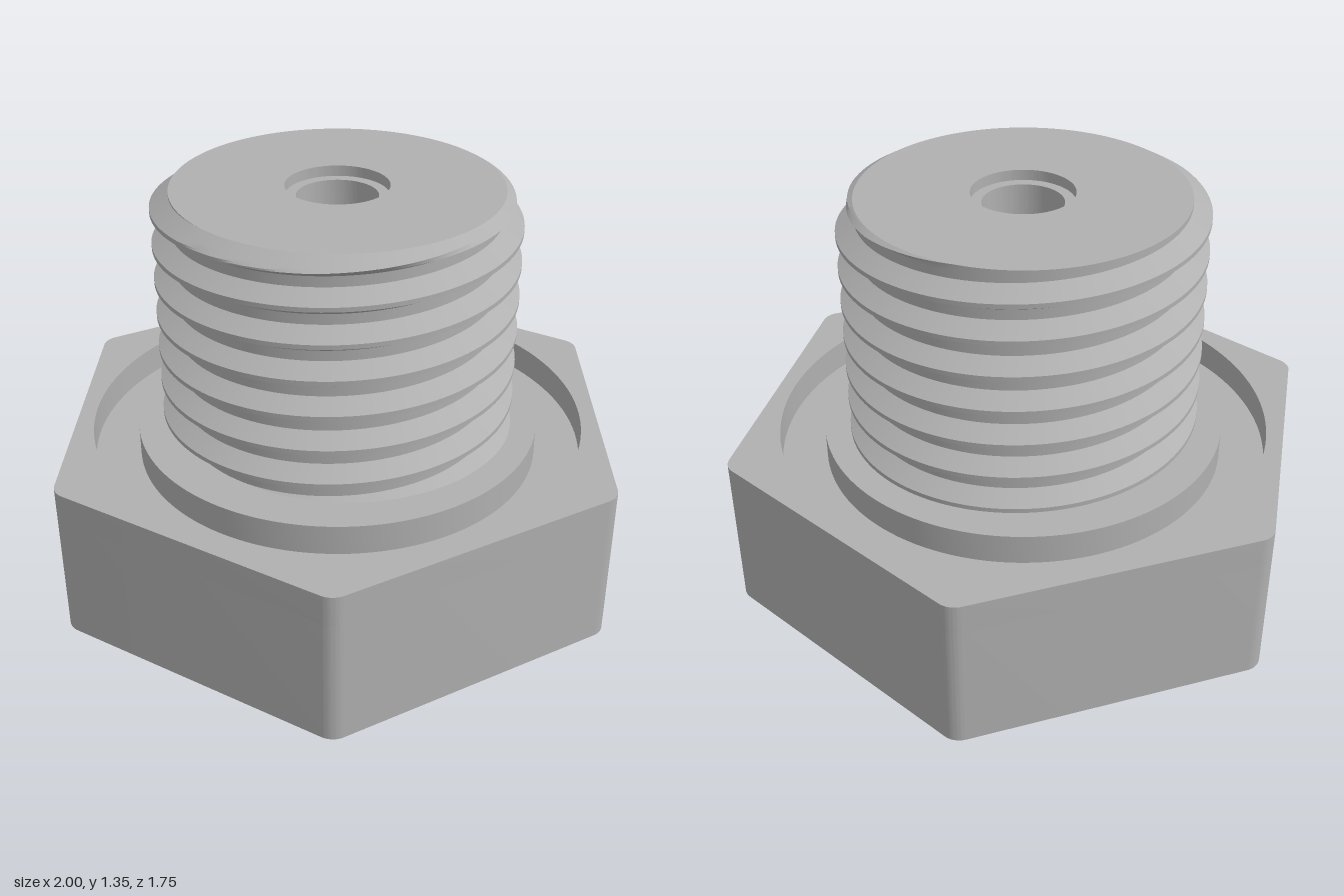
import * as THREE from 'three';
import { toCreasedNormals } from 'three/addons/utils/BufferGeometryUtils.js';

const FLOOR = 0.43, RIM = 0.53, TOP = 1.35;      // groove floor, head top, stud top
const ROOT = 0.525, CREST = 0.585, PITCH = 0.118; // thread
const BORE = 0.265;
const SIDES = 128;

const arc = (cx, cy, r, a0, a1, n) => Array.from({ length: n + 1 }, (_, i) => {
  const a = a0 + (a1 - a0) * i / n;
  return new THREE.Vector2(cx + r * Math.cos(a), cy + r * Math.sin(a));
});

// Hexagonal slab with rounded corners and a round hole
function hexSlab(y0, y1, holeRadius) {
  const apothem = 0.875, r = 0.067, d = (apothem - r) / Math.cos(Math.PI / 6);
  const outline = [];
  for (let k = 0; k < 6; k++) {
    const a = k * Math.PI / 3;
    outline.push(...arc(d * Math.cos(a), d * Math.sin(a), r, a - Math.PI / 6, a + Math.PI / 6, 12));
  }
  const shape = new THREE.Shape(outline);
  shape.holes.push(new THREE.Path(arc(0, 0, holeRadius, 0, Math.PI * 2, SIDES).slice(0, -1)));
  const g = new THREE.ExtrudeGeometry(shape, { depth: y1 - y0, bevelEnabled: false });
  g.rotateX(-Math.PI / 2).translate(0, y0, 0);
  return toCreasedNormals(g, 0.5);
}

function turned(points) {
  const g = new THREE.LatheGeometry(points.map(p => new THREE.Vector2(...p)), SIDES);
  return toCreasedNormals(g.toNonIndexed(), 0.5);
}

// Right-handed helical thread, trimmed by the head and chamfered at the top
function threadGeometry() {
  const crestHalf = PITCH / 16, slope = Math.sqrt(3);
  const flank = (CREST - ROOT) / slope;
  const offsets = [-crestHalf - flank, -crestHalf, crestHalf, crestHalf + flank, PITCH - crestHalf - flank];
  const levels = [];
  for (let k = -9; k <= 2; k++) {
    for (let s = 0; s < 4; s++) {
      for (let j = 0; j < 3; j++) {
        levels.push(k * PITCH + offsets[s] + (offsets[s + 1] - offsets[s]) * j / 3);
      }
    }
  }
  const point = (i, level) => {
    const a = i / SIDES * Math.PI * 2;
    const crestY = 1.305 + PITCH * (a - Math.PI) / (Math.PI * 2);
    const y = THREE.MathUtils.clamp(crestY + level, RIM, TOP);
    const t = (y - crestY) / PITCH;
    const dist = Math.abs(t - Math.round(t)) * PITCH;
    const profile = THREE.MathUtils.clamp(CREST - (dist - crestHalf) * slope, ROOT, CREST);
    const r = Math.min(profile, ROOT + (TOP - y) * slope);
    return [r * Math.cos(a), y, -r * Math.sin(a)];
  };
  const pos = [];
  for (let i = 0; i < SIDES; i++) {
    for (let j = 0; j < levels.length - 1; j++) {
      const a = point(i, levels[j]), b = point(i + 1, levels[j]);
      const c = point(i + 1, levels[j + 1]), d = point(i, levels[j + 1]);
      if (c[1] - b[1] > 1e-6) pos.push(...a, ...b, ...c);
      if (d[1] - a[1] > 1e-6) pos.push(...a, ...c, ...d);
    }
  }
  const g = new THREE.BufferGeometry();
  g.setAttribute('position', new THREE.Float32BufferAttribute(pos, 3));
  return toCreasedNormals(g, 0.5);
}

export function createModel() {
  const group = new THREE.Group();
  group.name = 'threadedPlug';
  const metal = new THREE.MeshStandardMaterial({ color: 0xb0b0b0 });
  metal.name = 'grey metal';
  const add = (name, geometry) => {
    const mesh = new THREE.Mesh(geometry, metal);
    mesh.name = name;
    group.add(mesh);
  };

  // Head: solid base plus the rim around the ring groove
  add('hexBase', hexSlab(0, FLOOR, BORE));
  add('hexRim', hexSlab(FLOOR, RIM, 0.82));
  add('collar', turned([[0.67, FLOOR], [0.67, RIM], [0.5, RIM]]));

  // Stud: thread outside, end face with stepped hole, wide bore inside
  add('thread', threadGeometry());
  add('endFaceAndBore', turned([
    [ROOT, TOP], [0.165, TOP], [0.165, 1.315], [0.13, 1.315],
    [0.13, 1.2], [BORE, 1.2], [BORE, FLOOR],
  ]));
  return group;
}
